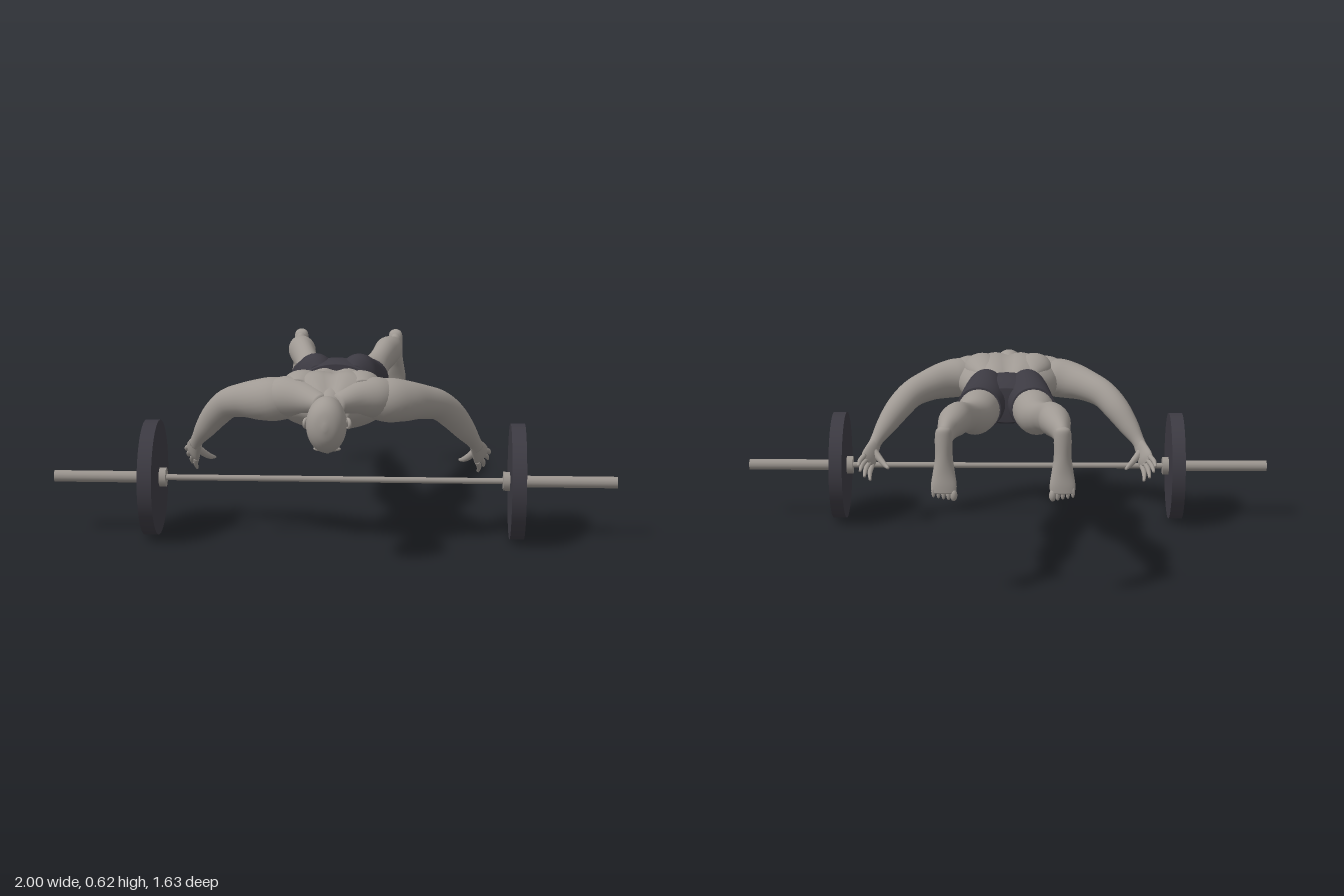
import * as THREE from 'three';

const mat = (name, color) => Object.assign(new THREE.MeshStandardMaterial({ color }), { name });
const X = new THREE.Vector3(1, 0, 0);

// Smooth interpolation through rows of numbers
function resample(rows, steps) {
  const out = [], n = rows.length;
  for (let i = 0; i < n - 1; i++) {
    const a = rows[Math.max(i - 1, 0)], b = rows[i], c = rows[i + 1], d = rows[Math.min(i + 2, n - 1)];
    for (let k = 0; k < steps; k++) {
      const t = k / steps;
      out.push(b.map((_, q) => 0.5 * (2 * b[q] + (c[q] - a[q]) * t
        + (2 * a[q] - 5 * b[q] + 4 * c[q] - d[q]) * t * t
        + (3 * b[q] - a[q] - 3 * c[q] + d[q]) * t * t * t)));
    }
  }
  out.push(rows[n - 1]);
  return out;
}

// Closed skin over elliptical rings; each station is [x, y, z, radiusU, radiusV]
function loft(stations, { side = X, axis = null, seg = 24, steps = 5, tweak = null } = {}) {
  const rows = resample(stations, steps), n = rows.length, pos = [], idx = [];
  const at = i => new THREE.Vector3(...rows[Math.min(Math.max(i, 0), n - 1)].slice(0, 3));
  for (let i = 0; i < n; i++) {
    const t = axis ? axis.clone() : at(i + 1).sub(at(i - 1)).normalize();
    const u = side.clone().addScaledVector(t, -side.dot(t)).normalize();
    const v = t.clone().cross(u);
    for (let j = 0; j < seg; j++) {
      const a = j / seg * Math.PI * 2;
      const p = at(i).addScaledVector(u, Math.cos(a) * rows[i][3]).addScaledVector(v, Math.sin(a) * rows[i][4]);
      if (tweak) tweak(p);
      pos.push(p.x, p.y, p.z);
      if (i < n - 1) {
        const k = (j + 1) % seg, A = i * seg + j, B = i * seg + k;
        idx.push(A, B, A + seg, B, B + seg, A + seg);
      }
    }
  }
  pos.push(...at(0).toArray(), ...at(n - 1).toArray());
  for (let j = 0; j < seg; j++) {
    const k = (j + 1) % seg, e = (n - 1) * seg;
    idx.push(n * seg, k, j, n * seg + 1, e + j, e + k);
  }
  const g = new THREE.BufferGeometry();
  g.setAttribute('position', new THREE.Float32BufferAttribute(pos, 3));
  g.setIndex(idx);
  g.computeVertexNormals();
  return g;
}

// Rings along z, each row [z, centreX, halfWidth, bottomY, topY]
function alongZ(rows, s = 1, opts = {}) {
  const axis = new THREE.Vector3(0, 0, Math.sign(rows[rows.length - 1][0] - rows[0][0]));
  return loft(rows.map(([z, x, w, lo, hi]) => [x * s, (lo + hi) / 2, z, w, (hi - lo) / 2]), { axis, ...opts });
}

export function createModel() {
  const root = new THREE.Group();
  root.name = 'pressUpOnBarbell';
  const skin = mat('skin', 0xa09a94), steel = mat('steel', 0x9a948e), dark = mat('darkCloth', 0x3c3a42);
  const add = (name, geo, m, parent = root) => {
    const mesh = new THREE.Mesh(geo, m);
    mesh.name = name;
    parent.add(mesh);
    return mesh;
  };
  const blob = (name, x, y, z, rx, ry, rz, m = skin) => {
    const b = add(name, new THREE.SphereGeometry(1, 16, 12), m);
    b.position.set(x, y, z);
    b.scale.set(rx, ry, rz);
    return b;
  };

  // Barbell
  const barbell = new THREE.Group();
  barbell.name = 'barbell';
  barbell.position.set(0, 0.205, 0.295);
  root.add(barbell);
  const rod = (name, r, x0, x1, m, seg) => {
    const g = new THREE.CylinderGeometry(r, r, Math.abs(x1 - x0), seg).rotateZ(Math.PI / 2);
    add(name, g, m, barbell).position.x = (x0 + x1) / 2;
  };
  rod('bar', 0.011, -0.62, 0.62, steel, 12);
  for (const s of [1, -1]) {
    rod('collar', 0.034, s * 0.598, s * 0.625, steel, 16);
    rod('plate', 0.205, s * 0.622, s * 0.672, dark, 48);
    rod('sleeve', 0.021, s * 0.66, s, steel, 12);
  }

  // Torso with a groove along the spine
  add('torso', alongZ([
    [0.12, 0, 0.126, 0.445, 0.588], [0.2, 0, 0.124, 0.437, 0.584], [0.28, 0, 0.145, 0.425, 0.592],
    [0.35, 0, 0.18, 0.412, 0.608], [0.42, 0, 0.2, 0.41, 0.622], [0.48, 0, 0.185, 0.425, 0.622],
    [0.53, 0, 0.13, 0.445, 0.597], [0.57, 0, 0.065, 0.455, 0.572],
  ], 1, {
    seg: 48,
    tweak: p => { if (p.y > 0.53) p.y -= 0.016 * Math.exp(-((p.x / 0.028) ** 2)) * Math.min(1, (p.y - 0.53) / 0.03); },
  }), skin);

  // Neck and head, face down
  add('neck', alongZ([[0.52, 0, 0.07, 0.45, 0.585], [0.57, 0, 0.054, 0.447, 0.567],
    [0.62, 0, 0.048, 0.44, 0.558], [0.67, 0, 0.048, 0.43, 0.56]]), skin);
  add('head', alongZ([
    [0.606, 0, 0.012, 0.408, 0.425], [0.615, 0, 0.03, 0.396, 0.455], [0.635, 0, 0.043, 0.394, 0.51],
    [0.665, 0, 0.055, 0.397, 0.56], [0.7, 0, 0.062, 0.398, 0.579], [0.74, 0, 0.067, 0.397, 0.586],
    [0.78, 0, 0.06, 0.414, 0.575], [0.805, 0, 0.038, 0.445, 0.548], [0.816, 0, 0.006, 0.485, 0.505],
  ], 1, { seg: 32 }), skin);
  blob('nose', 0, 0.394, 0.672, 0.011, 0.013, 0.02);
  blob('lips', 0, 0.397, 0.643, 0.02, 0.007, 0.009);
  for (const s of [1, -1]) {
    blob('brow', s * 0.024, 0.404, 0.706, 0.022, 0.008, 0.008);
    blob('eye', s * 0.025, 0.404, 0.694, 0.01, 0.005, 0.007);
    const ear = add('ear', new THREE.TorusGeometry(0.017, 0.006, 8, 20), skin);
    ear.position.set(s * 0.069, 0.488, 0.694);
    ear.rotation.set(0, s * (Math.PI / 2 + 0.4), 0);
    ear.scale.y = 0.85;
    blob('innerEar', s * 0.064, 0.488, 0.692, 0.007, 0.013, 0.014);
  }

  // Shorts seat
  add('shortsSeat', alongZ([[0.148, 0, 0.131, 0.437, 0.592], [0.11, 0, 0.139, 0.432, 0.603],
    [0.06, 0, 0.152, 0.428, 0.604], [0.01, 0, 0.155, 0.428, 0.59], [-0.025, 0, 0.13, 0.44, 0.565]], 1, { seg: 40 }), dark);

  const tipsOfHand = [[0.556, 0.255, 0.06], [0.55, 0.234, 0.062], [0.535, 0.21, 0.072], [0.515, 0.193, 0.088]];
  for (const s of [1, -1]) {
    // Shorts leg, carrying one buttock
    add('shortsLeg', alongZ([[0.135, 0.066, 0.04, 0.47, 0.585], [0.105, 0.074, 0.068, 0.435, 0.613], [0.065, 0.078, 0.076, 0.429, 0.62],
      [0.01, 0.084, 0.083, 0.423, 0.606], [-0.04, 0.092, 0.085, 0.42, 0.588], [-0.085, 0.101, 0.082, 0.418, 0.58]], s, { seg: 32 }), dark);

    // Leg from thigh to ankle
    add('leg', alongZ([
      [-0.05, 0.095, 0.076, 0.424, 0.576], [-0.12, 0.103, 0.075, 0.421, 0.571], [-0.2, 0.11, 0.064, 0.43, 0.562],
      [-0.27, 0.124, 0.052, 0.45, 0.564], [-0.33, 0.138, 0.045, 0.467, 0.573], [-0.42, 0.158, 0.047, 0.478, 0.594],
      [-0.5, 0.17, 0.053, 0.487, 0.598], [-0.58, 0.18, 0.043, 0.497, 0.587], [-0.65, 0.189, 0.031, 0.498, 0.575],
      [-0.72, 0.193, 0.026, 0.49, 0.566], [-0.765, 0.193, 0.028, 0.483, 0.57], [-0.795, 0.193, 0.022, 0.48, 0.57],
    ], s), skin);

    // Foot, sole facing back and toes hanging down
    const foot = [[0.583, -0.802, -0.79, 0.008], [0.572, -0.813, -0.77, 0.024], [0.54, -0.815, -0.755, 0.029],
      [0.48, -0.814, -0.745, 0.029], [0.43, -0.813, -0.764, 0.036], [0.39, -0.815, -0.78, 0.042], [0.364, -0.815, -0.788, 0.04]];
    add('foot', loft(foot.map(([y, z0, z1, w]) => [s * 0.193, y, (z0 + z1) / 2, w, (z1 - z0) / 2]),
      { axis: new THREE.Vector3(0, -1, 0) }), skin);
    for (let i = 0; i < 5; i++) {
      const r = i ? 0.0085 - i * 0.0004 : 0.012;
      blob('toe', s * (0.161 + i * 0.0165), 0.357 + i * 0.003, -0.803, r, 0.02, r);
    }

    // Trapezius and arm
    add('trapezius', loft([[s * 0.02, 0.53, 0.585, 0.03, 0.035], [s * 0.08, 0.535, 0.52, 0.055, 0.055],
      [s * 0.15, 0.535, 0.47, 0.07, 0.07], [s * 0.21, 0.53, 0.44, 0.055, 0.055]], { side: new THREE.Vector3(0, 1, 0) }), skin);
    add('shoulderBlade', loft([[s * 0.085, 0.56, 0.3, 0.03, 0.02], [s * 0.09, 0.56, 0.37, 0.065, 0.047],
      [s * 0.1, 0.56, 0.44, 0.075, 0.061], [s * 0.11, 0.55, 0.5, 0.05, 0.05]]), skin);
    const palmSide = new THREE.Vector3(s * 0.045, 0.065, -0.03).normalize();
    add('arm', loft([
      [s * 0.12, 0.522, 0.455, 0.06, 0.06], [s * 0.19, 0.522, 0.452, 0.076, 0.074], [s * 0.25, 0.515, 0.425, 0.071, 0.068],
      [s * 0.31, 0.503, 0.375, 0.06, 0.058], [s * 0.37, 0.48, 0.318, 0.053, 0.05], [s * 0.42, 0.432, 0.268, 0.049, 0.046],
      [s * 0.463, 0.375, 0.23, 0.039, 0.036], [s * 0.495, 0.328, 0.198, 0.026, 0.023], [s * 0.51, 0.3, 0.175, 0.025, 0.018],
    ], { side: palmSide }), skin);

    // Hand with spread fingers
    add('palm', loft([[s * 0.5, 0.318, 0.19, 0.024, 0.018], [s * 0.512, 0.292, 0.165, 0.032, 0.016],
      [s * 0.522, 0.268, 0.138, 0.038, 0.015], [s * 0.528, 0.253, 0.122, 0.033, 0.009]], { side: palmSide }), skin);
    tipsOfHand.forEach(([x, y, z], i) => {
      const k = 0.026 - i * 0.0175;
      const b = [0.524 * s + palmSide.x * k, 0.261 + palmSide.y * k, 0.13 + palmSide.z * k];
      add('finger', loft([[...b, 0.01, 0.01],
        [(b[0] + x * s) / 2 + s * 0.005, (b[1] + y) / 2, (b[2] + z) / 2, 0.009, 0.009],
        [x * s, y, z, 0.005, 0.005]], { seg: 10, side: palmSide }), skin);
    });
    add('thumb', loft([[s * 0.508, 0.29, 0.168, 0.015, 0.015], [s * 0.482, 0.262, 0.145, 0.013, 0.012],
      [s * 0.462, 0.245, 0.122, 0.01, 0.009], [s * 0.447, 0.237, 0.098, 0.005, 0.005]], { seg: 10, side: new THREE.Vector3(0, 1, 0) }), skin);
  }
  return root;
}
